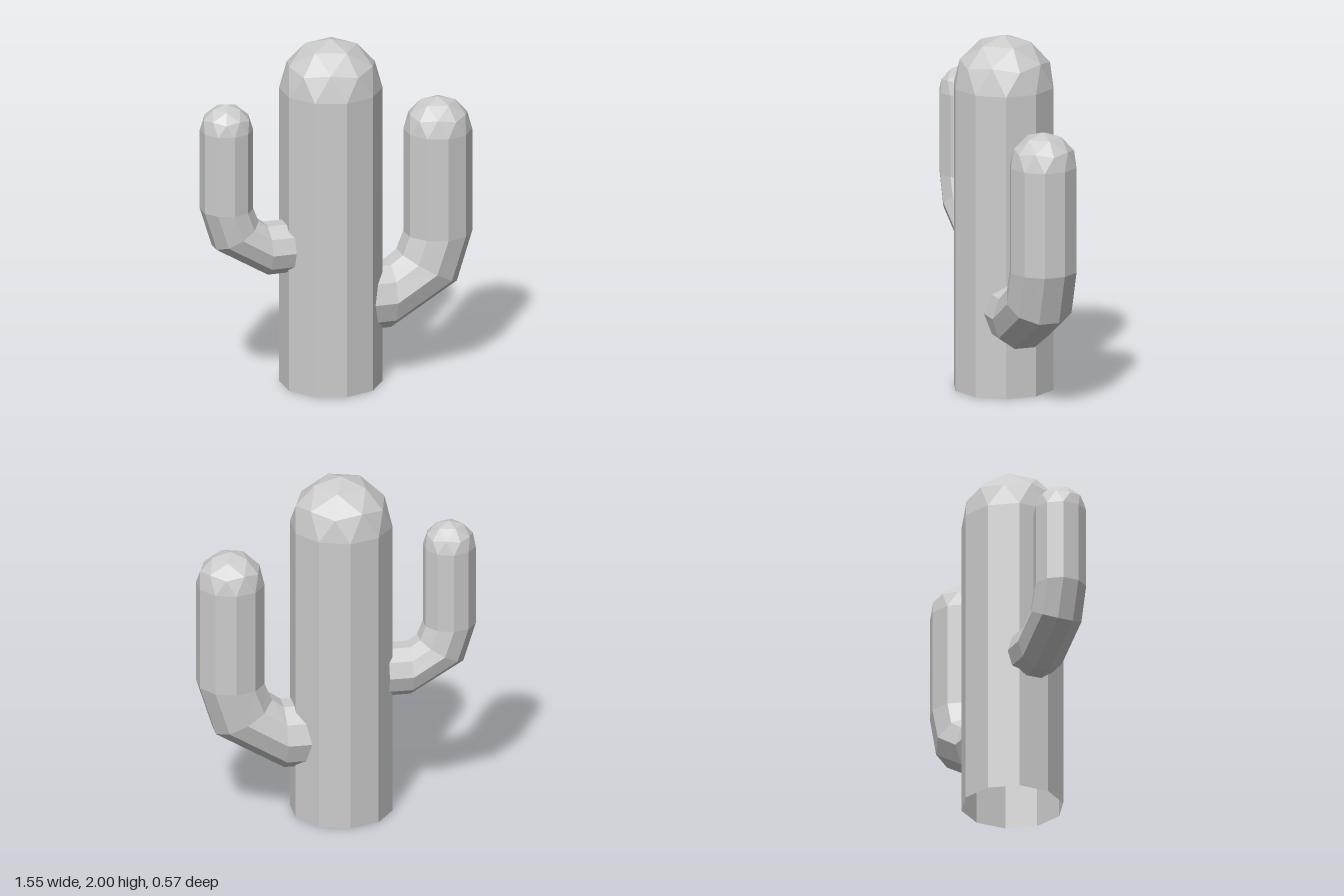
import * as THREE from 'three';

const SIDES = 10;
const material = new THREE.MeshStandardMaterial({
  color: 0xcccccc, flatShading: true, side: THREE.DoubleSide,
});

function addMesh(parent, name, geometry) {
  const mesh = new THREE.Mesh(geometry, material);
  mesh.name = name;
  parent.add(mesh);
  return mesh;
}

// Upper half of a subdivided icosahedron standing on one of its corners
function domeGeometry(radius) {
  const ball = new THREE.IcosahedronGeometry(radius, 1);
  ball.rotateZ(Math.atan(2 / (1 + Math.sqrt(5))));
  ball.rotateY(Math.PI);
  const p = ball.attributes.position;
  const kept = [];
  for (let i = 0; i < p.count; i += 3) {
    const corners = [i, i + 1, i + 2];
    if (corners.every((k) => p.getY(k) > -1e-4)) {
      corners.forEach((k) => kept.push(p.getX(k), p.getY(k), p.getZ(k)));
    }
  }
  const dome = new THREE.BufferGeometry();
  dome.setAttribute('position', new THREE.Float32BufferAttribute(kept, 3));
  dome.computeVertexNormals();
  return dome;
}

// Ten-sided tube through rings of [x, y, tilt]; tilt turns the outer side downwards
function bentTubeGeometry(radius, rings) {
  const points = [];
  const index = [];
  rings.forEach(([x, y, tilt], r) => {
    for (let i = 0; i < SIDES; i++) {
      const a = (i / SIDES) * Math.PI * 2;
      const out = radius * Math.sin(a);
      points.push(x + out * Math.cos(tilt), y - out * Math.sin(tilt), radius * Math.cos(a));
      if (r > 0) {
        const next = (i + 1) % SIDES;
        const low = (r - 1) * SIDES;
        const high = r * SIDES;
        index.push(low + i, low + next, high + next, low + i, high + next, high + i);
      }
    }
  });
  const tube = new THREE.BufferGeometry();
  tube.setAttribute('position', new THREE.Float32BufferAttribute(points, 3));
  tube.setIndex(index);
  const flat = tube.toNonIndexed();
  flat.computeVertexNormals();
  return flat;
}

// Arm reaching out towards +x, its origin at the foot of the upright part
function createArm(name) {
  const arm = new THREE.Group();
  arm.name = name;
  const radius = 0.19;
  const height = 0.595;
  addMesh(arm, name + 'Stem', bentTubeGeometry(radius, [
    [-0.4625, -0.332, Math.PI / 2],
    [-0.29, -0.332, Math.PI / 2],
    [-0.065, -0.193, Math.PI / 6],
    [0, 0, 0],
    [0, height, 0],
  ]));
  addMesh(arm, name + 'Tip', domeGeometry(radius)).position.y = height;
  return arm;
}

export function createModel() {
  const cactus = new THREE.Group();
  cactus.name = 'cactus';

  // Trunk, open at the bottom, with a faceted dome
  const radius = 0.285;
  const height = 1.715;
  const trunk = new THREE.Group();
  trunk.name = 'trunk';
  trunk.position.x = -0.03;
  addMesh(trunk, 'trunkStem', new THREE.CylinderGeometry(radius, radius, height, SIDES, 1, true))
    .position.y = height / 2;
  addMesh(trunk, 'trunkTip', domeGeometry(radius)).position.y = height;
  cactus.add(trunk);

  // Large low arm on the left
  const leftArm = createArm('leftArm');
  leftArm.position.set(0.59, 0.81, 0);
  cactus.add(leftArm);

  // Smaller, higher arm on the right, turned the other way
  const rightArm = createArm('rightArm');
  rightArm.position.set(-0.635, 1.075, 0);
  rightArm.rotation.y = Math.PI;
  rightArm.scale.setScalar(0.775);
  cactus.add(rightArm);

  return cactus;
}
